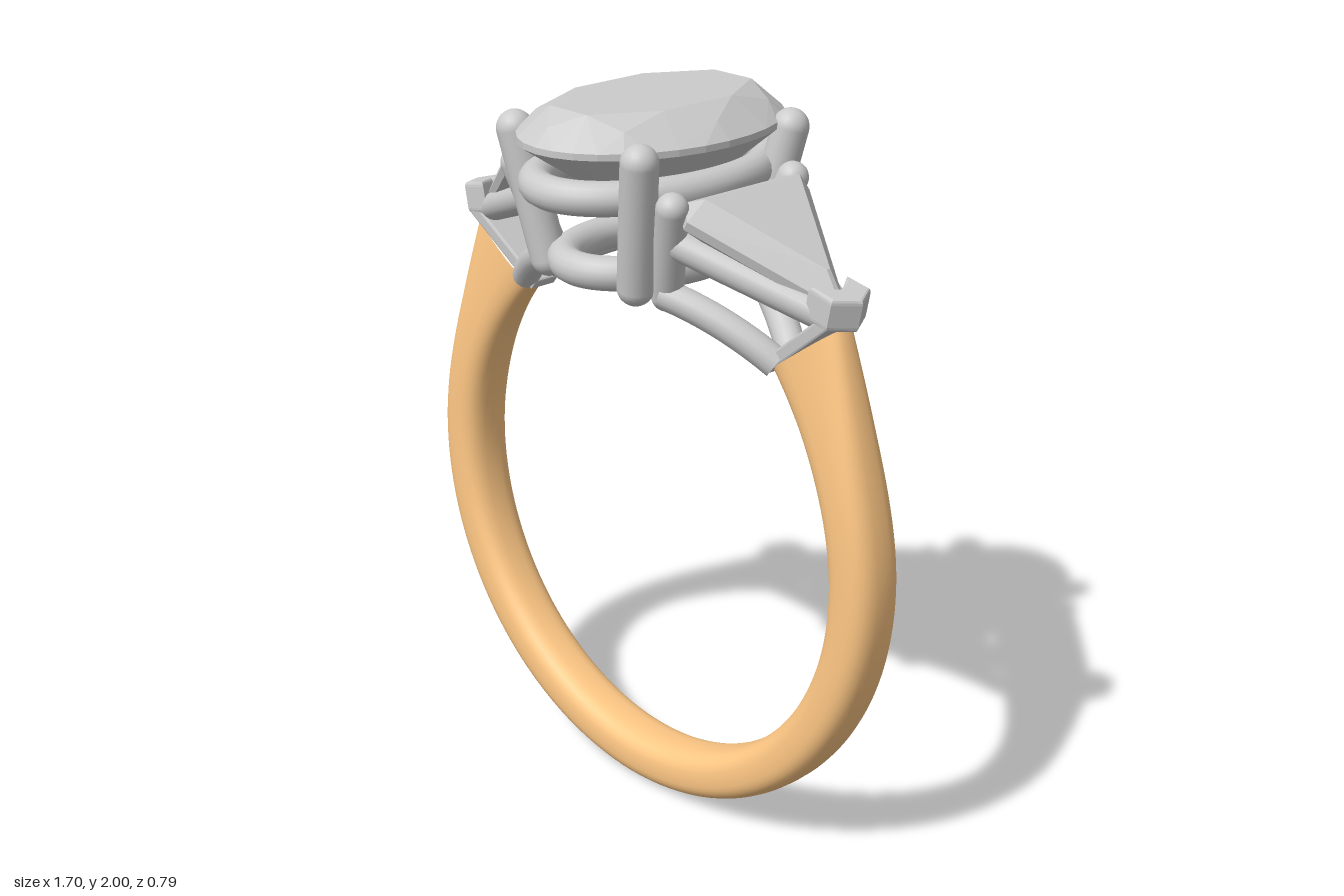
import * as THREE from 'three';
import { ConvexGeometry } from 'three/addons/geometries/ConvexGeometry.js';

const grey = new THREE.MeshStandardMaterial({ color: 0xcccccc });
const stoneMat = new THREE.MeshStandardMaterial({ color: 0xcccccc, flatShading: true });
const gold = new THREE.MeshStandardMaterial({ color: 0xffc885 });
const V = (x, y, z) => new THREE.Vector3(x, y, z);

function add(parent, name, geometry, material = grey) {
  const mesh = new THREE.Mesh(geometry, material);
  mesh.name = name;
  parent.add(mesh);
  return mesh;
}

// Round-ended rod between two points
function rod(parent, name, a, b, r) {
  const dir = b.clone().sub(a);
  const mesh = add(parent, name, new THREE.CapsuleGeometry(r, dir.length(), 8, 20));
  mesh.position.copy(a).add(b).multiplyScalar(0.5);
  mesh.quaternion.setFromUnitVectors(V(0, 1, 0), dir.normalize());
}

// Open band: rounded sections swept round the finger, flaring at the shoulders
function bandGeometry() {
  const N = 120, M = 32, pos = [], idx = [];
  const rad = THREE.MathUtils.degToRad;
  const pow = (v) => Math.sign(v) * Math.abs(v) ** (2 / 2.7);
  for (let i = 0; i <= N; i++) {
    const s = (i / N) * 2 - 1, t = Math.abs(s);
    const flare = Math.max(0, (t - 0.72) / 0.28);
    const ri = 0.7 + 0.012 * flare ** 3;
    const ro = 0.84 + 0.02 * t * t + 0.123 * flare ** 2.7;
    const ai = rad(-90 + s * 139), ao = rad(-90 + s * 135.4);
    const w = 0.08 - 0.025 * flare ** 2;
    for (let j = 0; j < M; j++) {
      const p = (j / M) * Math.PI * 2;
      const k = (pow(Math.cos(p)) + 1) / 2;
      pos.push(
        THREE.MathUtils.lerp(ri * Math.cos(ai), ro * Math.cos(ao), k),
        0.84 + THREE.MathUtils.lerp(ri * Math.sin(ai), ro * Math.sin(ao), k),
        w * pow(Math.sin(p)));
      if (i < N) {
        const a = i * M + j, b = i * M + (j + 1) % M;
        idx.push(a, a + M, b, b, a + M, b + M);
      }
    }
  }
  const g = new THREE.BufferGeometry();
  g.setAttribute('position', new THREE.Float32BufferAttribute(pos, 3));
  g.setIndex(idx);
  g.computeVertexNormals();
  return g;
}

// Oval brilliant cut: staggered rings of corners enclosed by flat facets
function ovalStone() {
  const pts = [V(0, 1.67, 0)];
  const ring = (n, y, rx, rz, turn = 0) => {
    for (let i = 0; i < n; i++) {
      const a = ((i + turn) / n) * Math.PI * 2;
      pts.push(V(rx * Math.cos(a), y, rz * Math.sin(a)));
    }
  };
  ring(8, 2.0, 0.18, 0.31, 0.5);
  ring(8, 1.968, 0.236, 0.355);
  ring(32, 1.925, 0.28, 0.395);
  ring(32, 1.908, 0.28, 0.395);
  ring(8, 1.785, 0.152, 0.21, 0.5);
  return new ConvexGeometry(pts);
}

// Triangular stone: u runs from base to tip, y is the stone's own up
function triangleStone() {
  const pts = [V(0.14, -0.13, 0.03), V(0.14, -0.13, -0.03), V(0.21, -0.12, 0)];
  for (const z of [-1, 1]) {
    for (const y of [0, -0.025]) {
      pts.push(V(-0.01, y, z * 0.175), V(0.05, y, z * 0.215), V(0.43, y, z * 0.008));
    }
    pts.push(V(0.035, 0.05, z * 0.165), V(0.335, 0.05, z * 0.006));
  }
  return new ConvexGeometry(pts);
}

// Oval wire running round the centre setting
function ovalRail(parent, name, y, rx, rz, r) {
  const pts = [];
  for (let i = 0; i < 24; i++) {
    const a = (i / 24) * Math.PI * 2;
    pts.push(V(rx * Math.cos(a), y, rz * Math.sin(a)));
  }
  const path = new THREE.CatmullRomCurve3(pts, true);
  add(parent, name, new THREE.TubeGeometry(path, 80, r, 16, true));
}

// One side setting on +x; the other is the same turned half round
function sideSetting(name) {
  const side = new THREE.Group();
  side.name = name;
  const stone = add(side, 'sideStone', triangleStone(), stoneMat);
  stone.position.set(0.31, 1.8, 0);
  stone.rotation.z = -0.53;

  for (const z of [-1, 1]) {
    // Upper rail under the stone and lower rail following the finger
    rod(side, 'upperSideRail', V(0.63, 1.565, z * 0.025), V(0.27, 1.7, z * 0.185), 0.04);
    const arc = [];
    for (let i = 0; i <= 6; i++) {
      const a = THREE.MathUtils.degToRad(49 + i * 4);
      arc.push(V(0.742 * Math.cos(a), 0.84 + 0.742 * Math.sin(a), z * (0.03 + 0.023 * i)));
    }
    const path = new THREE.CatmullRomCurve3(arc);
    add(side, 'lowerSideRail', new THREE.TubeGeometry(path, 24, 0.04, 16));
    // Prongs holding the base corners of the stone, and the centre stone
    rod(side, 'smallProng', V(0.215, 1.54, z * 0.15), V(0.297, 1.795, z * 0.212), 0.042);
    rod(side, 'largeProng', V(0.168, 1.565, z * 0.215), V(0.236, 1.907, z * 0.264), 0.049);
  }

  // Plate closing the shoulder, narrowing toward the finger
  const plate = new THREE.Shape([[-0.15, -0.035], [0.13, -0.062], [0.15, 0],
    [0.13, 0.062], [-0.15, 0.035]].map(([x, y]) => new THREE.Vector2(x, y)));
  const plateMesh = add(side, 'shoulderPlate', new THREE.ExtrudeGeometry(plate, {
    depth: 0.025, bevelThickness: 0.006, bevelSize: 0.006, bevelSegments: 2,
  }).translate(0, 0, -0.012).rotateX(-Math.PI / 2));
  plateMesh.position.set(0.568, 1.475, 0);
  plateMesh.rotation.z = 0.67;

  // V-shaped claw wrapped round the tip of the stone
  const claw = new THREE.Shape([[0.045, 0], [0.01, 0.062], [-0.055, 0.062], [-0.03, 0.03],
    [-0.015, 0], [-0.03, -0.03], [-0.055, -0.062], [0.01, -0.062]]
    .map(([x, y]) => new THREE.Vector2(x, y)));
  const clawMesh = add(side, 'tipClaw', new THREE.ExtrudeGeometry(claw, {
    depth: 0.06, bevelThickness: 0.014, bevelSize: 0.008, bevelSegments: 3,
  }).translate(0, 0, -0.03).rotateX(-Math.PI / 2));
  clawMesh.position.set(0.68, 1.588, 0);
  clawMesh.rotation.z = -0.2;
  return side;
}

export function createModel() {
  const model = new THREE.Group();
  model.name = 'threeStoneRing';
  add(model, 'band', bandGeometry(), gold);
  add(model, 'centreStone', ovalStone(), stoneMat);
  ovalRail(model, 'upperCentreRail', 1.8, 0.225, 0.35, 0.045);
  ovalRail(model, 'lowerCentreRail', 1.585, 0.18, 0.265, 0.045);
  const left = sideSetting('leftSetting');
  const right = sideSetting('rightSetting');
  right.rotation.y = Math.PI;
  model.add(left, right);
  return model;
}
